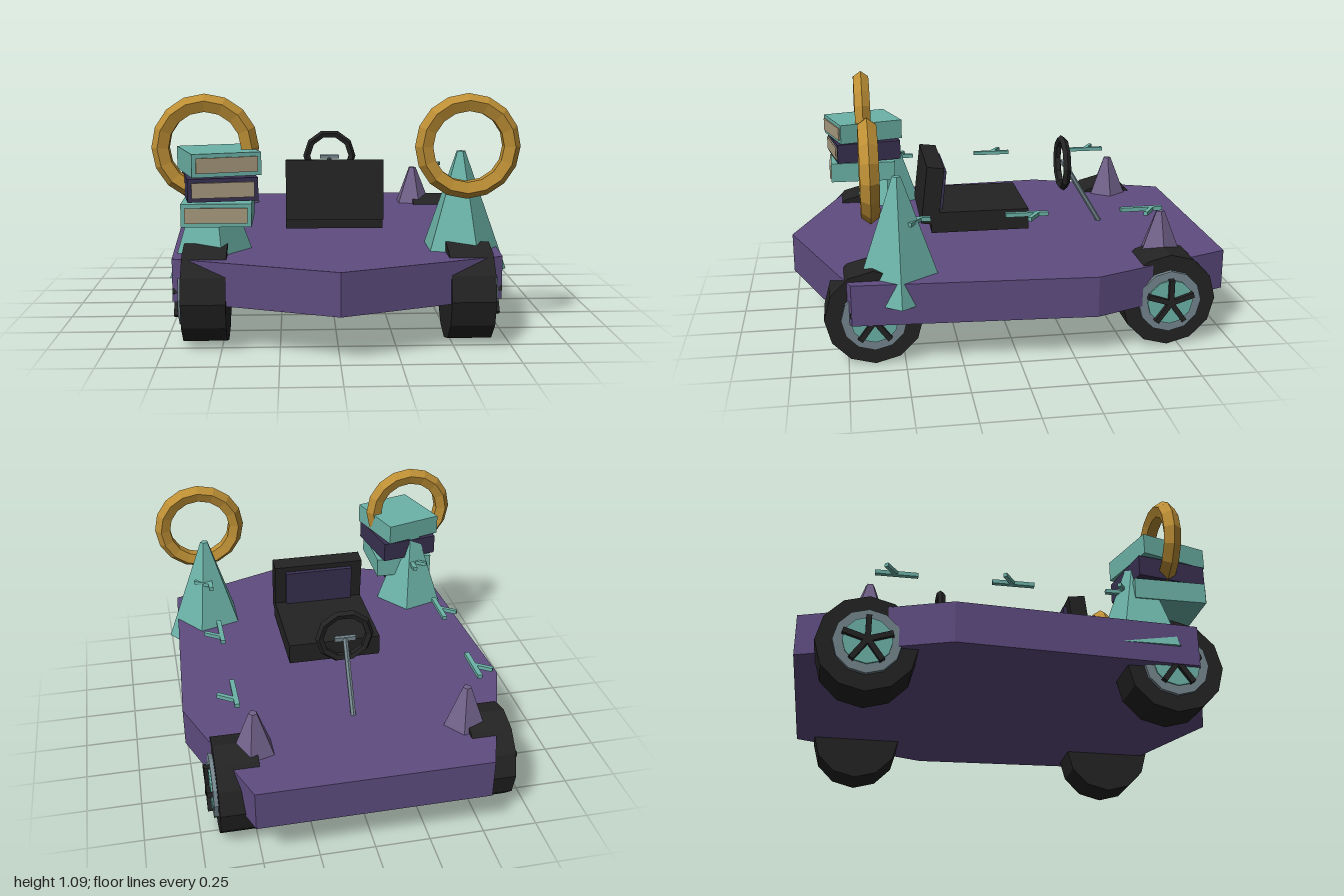
import * as THREE from 'three';

const mat = (name, color) => {
  const m = new THREE.MeshStandardMaterial({ color });
  m.name = name;
  m.flatShading = true;
  return m;
};

export function createModel() {
  const purple = mat('body purple', 0x5e4c80);
  const mauve = mat('spike mauve', 0x71628a);
  const dark = mat('dark purple', 0x3a3152);
  const teal = mat('teal', 0x6cb3a8);
  const gold = mat('gold', 0xbd8f35);
  const black = mat('black', 0x232323);
  const grey = mat('blue grey', 0x74868e);
  const cream = mat('page cream', 0xa89a7e);

  const root = new THREE.Group();
  root.name = 'cart';
  const add = (parent, name, geo, material, x = 0, y = 0, z = 0) => {
    const mesh = new THREE.Mesh(geo, material);
    mesh.name = name;
    mesh.position.set(x, y, z);
    parent.add(mesh);
    return mesh;
  };
  const group = (name, x = 0, y = 0, z = 0) => {
    const g = new THREE.Group();
    g.name = name;
    g.position.set(x, y, z);
    root.add(g);
    return g;
  };
  const box = (w, h, d) => new THREE.BoxGeometry(w, h, d);

  // Slab body with a pointed nose
  const half = [[0.525, -1], [0.768, -0.345], [0.71, 0.73]];
  const outline = [...half, [0, 1], ...half.slice().reverse().map(([x, z]) => [-x, z])];
  const shape = new THREE.Shape(outline.map(([x, z]) => new THREE.Vector2(x, -z)));
  const bodyGeo = new THREE.ExtrudeGeometry(shape, { depth: 0.187, bevelEnabled: false });
  bodyGeo.rotateX(-Math.PI / 2);
  add(root, 'body', bodyGeo, purple, 0, 0.202, 0);

  // Wheels: tyre, rim, hub disc and five spokes
  const disc = (r, w) => new THREE.CylinderGeometry(r, r, w, 12).rotateZ(Math.PI / 2);
  for (const side of [-1, 1]) {
    for (const [end, z] of [['front', 0.632], ['rear', -0.697]]) {
      const wheel = group(`${end}${side > 0 ? 'Left' : 'Right'}Wheel`, 0, 0.217, z);
      add(wheel, 'tyre', disc(0.217, 0.19), black, side * 0.572);
      add(wheel, 'rim', disc(0.145, 0.03), grey, side * 0.67);
      add(wheel, 'hubDisc', disc(0.105, 0.02), teal, side * 0.682);
      for (let i = 0; i < 5; i++) {
        const a = (i * Math.PI * 2) / 5;
        const geo = box(0.025, 0.11, 0.024).translate(0, 0.055, 0).rotateX(a);
        add(wheel, 'spoke', geo, black, side * 0.697);
      }
    }
  }

  // Five-sided pillars and spikes, one corner towards +x
  const pyramid = (r, h) => new THREE.CylinderGeometry(0.02, r, h, 5, 1, false, Math.PI / 2);
  for (const side of [-1, 1]) {
    add(root, 'frontPillar', pyramid(0.215, 0.537), teal, side * 0.555, 0.5535, 0.515);
    add(root, 'rearSpike', pyramid(0.102, 0.205), mauve, side * 0.482, 0.4825, -0.697);
    add(root, 'goldRing', new THREE.TorusGeometry(0.188, 0.042, 5, 16), gold, side * 0.566, 0.855, 0.632);
  }

  // Seat, facing the steering wheel
  const seat = group('seat');
  add(seat, 'cushion', box(0.45, 0.1, 0.466), black, 0, 0.49, 0.105);
  const back = new THREE.Group();
  back.name = 'backrest';
  back.position.set(0, 0.622, 0.33);
  back.rotation.x = -0.117;
  seat.add(back);
  add(back, 'backPanel', box(0.45, 0.276, 0.082), black);
  add(back, 'backPad', box(0.34, 0.22, 0.02), dark, 0, 0, -0.05);

  // Steering wheel and sloping column
  const steering = group('steering');
  add(steering, 'steeringRing', new THREE.TorusGeometry(0.118, 0.02, 5, 10), black, 0, 0.697, -0.338);
  add(steering, 'crossBar', box(0.1, 0.02, 0.02), grey, 0, 0.69, -0.35);
  const column = add(steering, 'column', new THREE.CylinderGeometry(0.013, 0.013, 0.37, 6), grey, 0, 0.535, -0.444);
  column.rotation.x = Math.atan2(0.18, 0.3);

  // Stack of turned books with inset pages
  const books = [
    [-0.512, 0.589, 0.64, 0, teal],
    [-0.51, 0.695, 0.63, 0.17, dark],
    [-0.512, 0.8, 0.632, 0.29, teal],
  ];
  for (const [x, y, z, turn, cover] of books) {
    const book = group('book', x, y, z);
    book.rotation.y = turn;
    add(book, 'cover', box(0.295, 0.098, 0.33), cover);
    add(book, 'pages', box(0.262, 0.064, 0.009), cream, 0, 0, 0.168);
  }

  // Forked twigs floating along both sides
  for (const side of [-1, 1]) {
    for (const z of [-0.585, -0.06, 0.465]) {
      const twig = group('twig', side * 0.545, 0.62, z);
      add(twig, 'stem', box(0.022, 0.018, 0.192), teal);
      const branch = add(twig, 'branch', box(0.09, 0.018, 0.018), teal, side * 0.038, 0, -0.025);
      branch.rotation.y = -0.6;
    }
  }

  return root;
}
